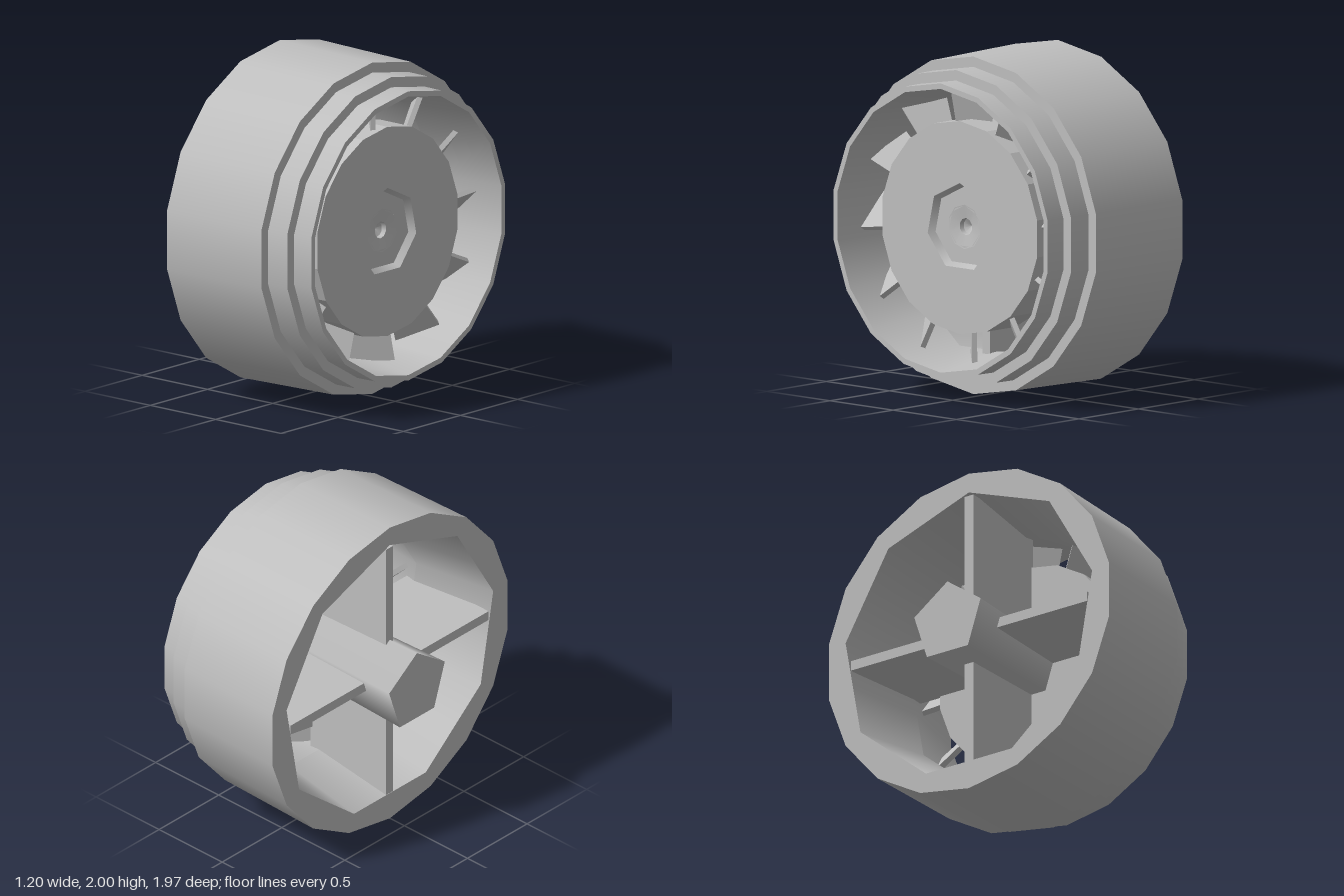
import * as THREE from 'three';
import { mergeGeometries } from 'three/addons/utils/BufferGeometryUtils.js';

// Turned shape around the x axis, a vertex at the top. Each profile span [radius, x] keeps sharp edges;
// an optional rule(index, radius, x) scales the radius of single vertices.
function turned(profile, sides, rule) {
  const spans = [];
  for (let i = 0; i < profile.length - 1; i++) {
    const pts = [profile[i], profile[i + 1]].map(([r, x]) => new THREE.Vector2(r, x));
    const g = new THREE.LatheGeometry(pts, sides, -Math.PI / 2);
    if (rule) {
      const p = g.attributes.position;
      for (let v = 0; v < p.count; v++) {
        const k = rule(Math.floor(v / 2), pts[v % 2].x, pts[v % 2].y);
        p.setX(v, p.getX(v) * k);
        p.setZ(v, p.getZ(v) * k);
      }
    }
    g.rotateZ(-Math.PI / 2);
    spans.push(g);
  }
  return mergeGeometries(spans);
}

function polygon(path, sides, radius) {
  for (let i = 0; i < sides; i++) {
    const a = Math.PI / 2 + (i / sides) * Math.PI * 2;
    const x = radius * Math.cos(a), y = radius * Math.sin(a);
    if (i) path.lineTo(x, y); else path.moveTo(x, y);
  }
  path.closePath();
  return path;
}

export function createModel() {
  const model = new THREE.Group();
  const gray = new THREE.MeshStandardMaterial({ color: 0xbfbfbf });
  gray.name = 'lightGray';
  const add = (name, geometry, parent = model) => {
    const m = new THREE.Mesh(geometry, gray);
    m.name = name;
    parent.add(m);
    return m;
  };

  // Stepped 18-sided housing; its bore narrows into nine sides behind the front lip
  const housing = turned([
    [0.88, -0.385], [1, -0.385], [0.985, 0.325], [0.925, 0.325], [0.923, 0.47],
    [0.862, 0.47], [0.86, 0.6], [0.828, 0.6], [0.8, 0.15], [0.88, -0.385],
  ], 18, (i, r, x) => (i % 2 && r < 0.9 && x < 0.4 ? Math.cos(Math.PI / 9) : 1));
  add('housing', housing).position.y = 1;

  // Five-sided hub shaft, widening slightly toward the back
  add('hubShaft', turned([[0, -0.6], [0.245, -0.6], [0.22, 0.22]], 5)).position.y = 0.988;

  // Four struts between shaft and housing
  const struts = new THREE.Group();
  struts.name = 'struts';
  struts.position.y = 1;
  model.add(struts);
  [0.86, 0.83, 0.83, 0.83].forEach((reach, i) => {
    const g = new THREE.BoxGeometry(0.6, reach - 0.1, 0.06);
    g.translate(-0.083, (reach + 0.1) / 2, 0);
    // order: top, left side, bottom, right side
    g.rotateX((i * Math.PI) / 2);
    add('strut', g, struts);
  });

  // Rotor disc with a seven-sided opening
  const rotor = new THREE.Group();
  rotor.name = 'rotor';
  rotor.position.y = 1;
  model.add(rotor);
  const face = polygon(new THREE.Shape(), 18, 0.622);
  face.holes.push(polygon(new THREE.Path(), 7, 0.26));
  const disc = new THREE.ExtrudeGeometry(face, { depth: 0.24, bevelEnabled: false });
  disc.rotateY(Math.PI / 2).translate(0.2, 0, 0);
  add('rotorDisc', disc, rotor);

  // Recessed centre with a shallow dish and a small bore
  add('centreRecess', turned([
    [0, 0.2], [0.26, 0.2], [0.26, 0.44], [0.235, 0.4], [0.125, 0.4],
  ], 7), rotor);
  add('centreBore', turned([[0.13, 0.401], [0.05, 0.388], [0.045, 0.36], [0, 0.335]], 10), rotor);

  // Twelve pitched blades, wider at the tip
  for (let i = 0; i < 12; i++) {
    const g = new THREE.BoxGeometry(0.03, 0.22, 0.27);
    const p = g.attributes.position;
    for (let v = 0; v < p.count; v++) if (p.getY(v) < 0) p.setZ(v, p.getZ(v) * 0.74);
    g.rotateY(Math.PI / 4).translate(0.32, 0.685, 0).rotateX((i * Math.PI) / 6);
    add('blade', g, rotor);
  }
  return model;
}
